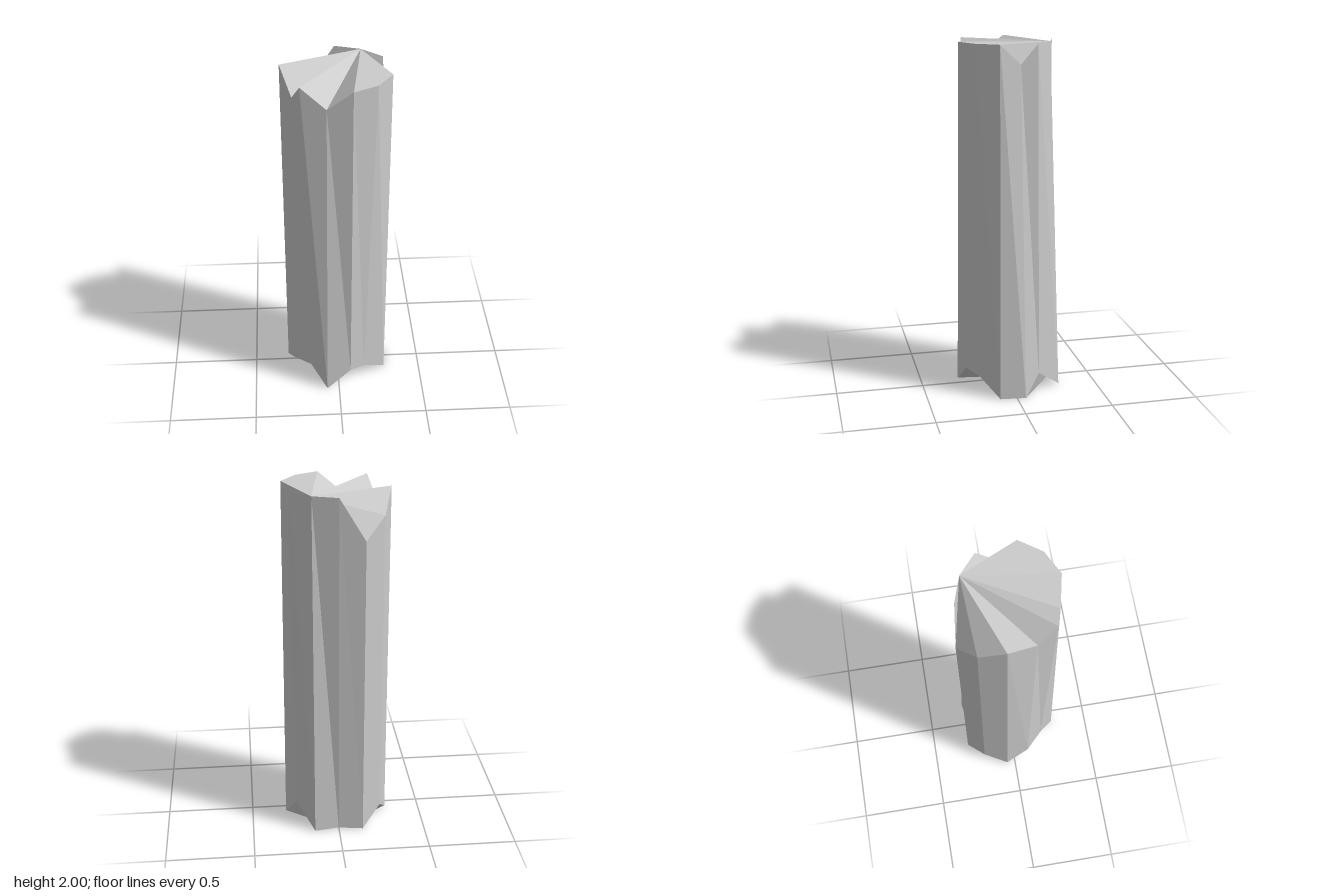
import * as THREE from 'three';

// Jagged rims of the broken shaft, listed anticlockwise seen from above: [x, y, z]
const topRim = [
  [0.14, 2, -0.215], [0, 2, -0.26], [-0.14, 1.77, -0.285], [-0.25, 1.88, -0.19],
  [-0.30, 2, -0.05], [-0.24, 1.89, 0.11], [-0.20, 2, 0.215], [-0.065, 1.89, 0.255],
  [0.07, 2, 0.28], [0.20, 2, 0.215], [0.285, 2, 0.095], [0.253, 1.89, -0.025], [0.25, 2, -0.12],
];
const bottomRim = [
  [0.14, 0, -0.285], [0, 0, -0.263], [-0.14, 0, -0.285], [-0.25, 0.1, -0.19],
  [-0.30, 0, -0.05], [-0.26, 0.09, 0.09], [-0.165, 0.12, 0.19], [-0.07, 0, 0.28],
  [0.07, 0.12, 0.255], [0.155, 0.095, 0.19], [0.285, 0, 0.095], [0.30, 0, -0.05], [0.24, 0.12, -0.14],
];
const n = topRim.length;

function facetMesh(name, triangles) {
  const geometry = new THREE.BufferGeometry();
  geometry.setAttribute('position', new THREE.Float32BufferAttribute(triangles.flat(2), 3));
  geometry.computeVertexNormals();
  const material = new THREE.MeshStandardMaterial({
    color: 0xcccccc, flatShading: true, side: THREE.DoubleSide,
  });
  const mesh = new THREE.Mesh(geometry, material);
  mesh.name = name;
  return mesh;
}

// Fan of triangles spreading from one rim corner
function fan(rim, apex, flip) {
  const triangles = [];
  for (let k = 1; k < n - 1; k++) {
    const a = rim[(apex + k) % n], b = rim[(apex + k + 1) % n];
    triangles.push(flip ? [rim[apex], b, a] : [rim[apex], a, b]);
  }
  return triangles;
}

export function createModel() {
  const group = new THREE.Group();
  group.name = 'brokenShaft';

  // Side facets joining the two rims
  const walls = [];
  for (let i = 0; i < n; i++) {
    const j = (i + 1) % n;
    walls.push([topRim[i], bottomRim[i], bottomRim[j]], [topRim[i], bottomRim[j], topRim[j]]);
  }
  group.add(facetMesh('shaftWall', walls));

  // Uneven broken ends
  group.add(facetMesh('topBreak', fan(topRim, 0, false)));
  group.add(facetMesh('bottomBreak', fan(bottomRim, 1, true)));
  return group;
}
